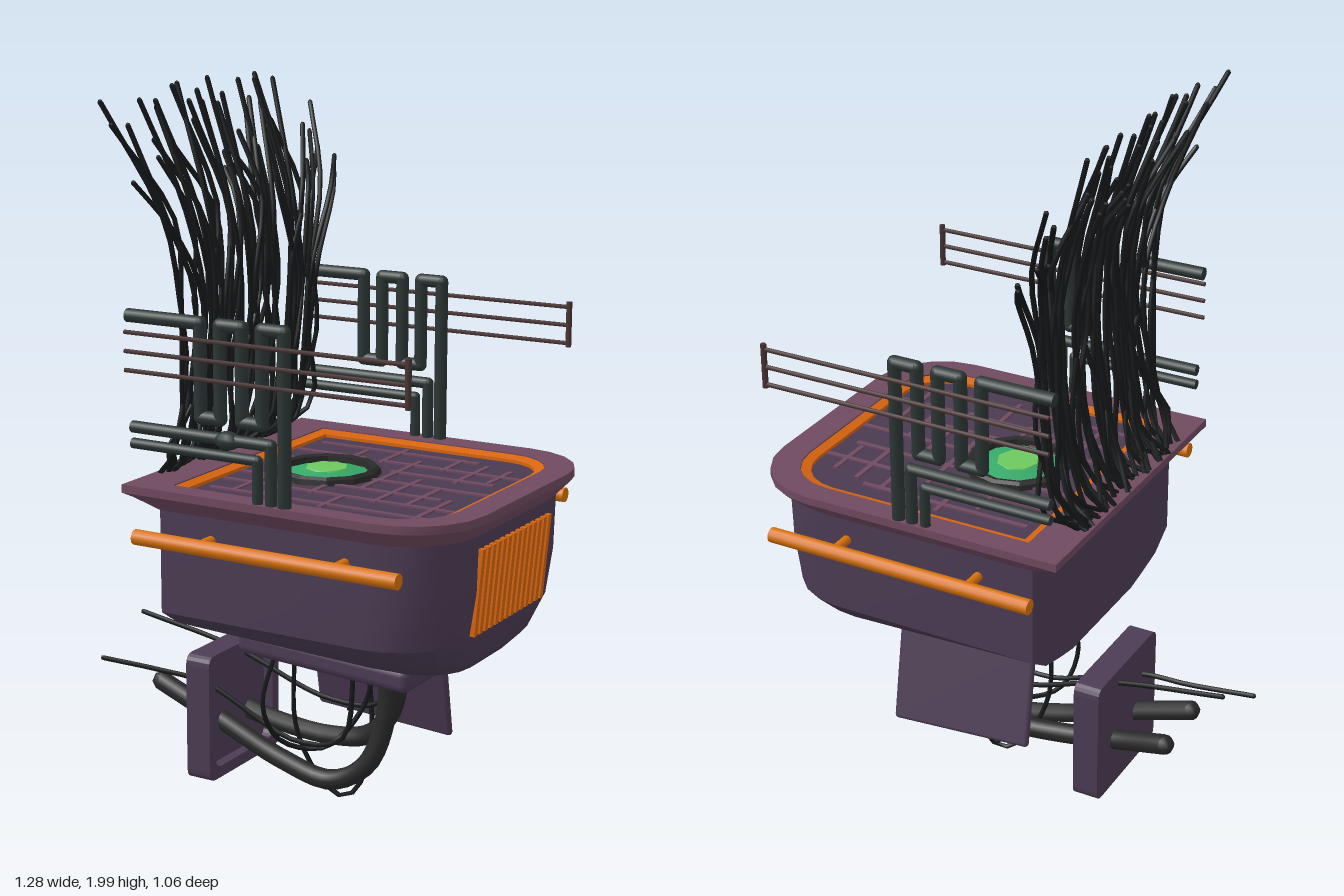
import * as THREE from 'three';
import { mergeGeometries, toCreasedNormals } from 'three/addons/utils/BufferGeometryUtils.js';
import { RoundedBoxGeometry } from 'three/addons/geometries/RoundedBoxGeometry.js';

const ZC = -0.05; // symmetry plane of the machine
const V = (x, y, z) => new THREE.Vector3(x, y, z);
const mat = (color) => new THREE.MeshStandardMaterial({ color, side: THREE.DoubleSide });
const M = {
  body: mat(0x4c3c54), rim: mat(0x704a60), floor: mat(0x4a3a50), orange: mat(0xd8650f),
  rail: mat(0xd8720c), pipe: mat(0x2b3634), rod: mat(0x4a3434), cable: mat(0x292929),
  wire: mat(0x161819), green: mat(0x36a868), light: mat(0x6cc85e),
};

// D-shaped outline in x/z: square at the back, rounded at +x
function outline(x0, x1, w, r) {
  const pts = [[x0, ZC + w]];
  for (const [s, from] of [[1, Math.PI / 2], [-1, 0]])
    for (let i = 0; i <= 5; i++) {
      const a = from - (i / 5) * Math.PI / 2;
      pts.push([x1 - r + r * Math.cos(a), ZC + s * (w - r) + r * Math.sin(a)]);
    }
  pts.push([x0, ZC - w]);
  return pts;
}

// Skin over stacked outlines [y, x0, x1, halfWidth, radius, rise at the back]
function loft(layers, capBottom, capTop) {
  const pos = [], idx = [];
  for (const [y, x0, x1, w, r, rise = 0] of layers)
    for (const [x, z] of outline(x0, x1, w, r)) pos.push(x, y + rise * (x1 - x) / (x1 - x0), z);
  const n = pos.length / 3 / layers.length;
  for (let k = 0; k < layers.length - 1; k++)
    for (let j = 0; j < n; j++) {
      const a = k * n + j, b = k * n + (j + 1) % n;
      idx.push(a, b, b + n, a, b + n, a + n);
    }
  const top = (layers.length - 1) * n;
  for (let j = 1; j < n - 1; j++) {
    if (capBottom) idx.push(0, j + 1, j);
    if (capTop) idx.push(top, top + j, top + j + 1);
  }
  const g = new THREE.BufferGeometry();
  g.setAttribute('position', new THREE.Float32BufferAttribute(pos, 3));
  g.setIndex(idx);
  return toCreasedNormals(g, 0.5);
}

function rod(a, b, r, sides = 10) {
  const d = b.clone().sub(a);
  const g = new THREE.CylinderGeometry(r, r, d.length(), sides);
  g.applyQuaternion(new THREE.Quaternion().setFromUnitVectors(V(0, 1, 0), d.normalize()));
  return g.translate((a.x + b.x) / 2, (a.y + b.y) / 2, (a.z + b.z) / 2);
}

// Straight pipe runs with ball elbows, in a plane of constant z
function pipe(points, z, r) {
  const p = points.map(([x, y]) => V(x, y, z)), parts = [];
  p.forEach((q, i) => {
    if (i) parts.push(rod(p[i - 1], q, r));
    if (i && i < p.length - 1) parts.push(new THREE.SphereGeometry(r, 10, 8).translate(q.x, q.y, q.z));
  });
  return mergeGeometries(parts);
}

function tube(points, r, segs, sides) {
  const curve = new THREE.CatmullRomCurve3(points.map((p) => V(...p)));
  const end = points[points.length - 1];
  return mergeGeometries([new THREE.TubeGeometry(curve, segs, r, sides),
    new THREE.SphereGeometry(r, sides, 4).translate(...end)]);
}

export function createModel() {
  const root = new THREE.Group();
  const add = (name, geo, material, parent = root) => {
    const m = new THREE.Mesh(geo, material);
    m.name = name;
    parent.add(m);
    return m;
  };

  // Tub and its flared rim
  add('tub', loft([
    [0.482, -0.23, 0.48, 0.18, 0.12, 0.055], [0.505, -0.23, 0.525, 0.25, 0.16, 0.045],
    [0.54, -0.23, 0.555, 0.335, 0.19, 0.03], [0.62, -0.23, 0.575, 0.41, 0.2],
    [0.75, -0.23, 0.595, 0.41, 0.2], [0.93, -0.23, 0.6, 0.41, 0.2]], true, false), M.body);
  add('rim', loft([
    [0.9, -0.23, 0.6, 0.41, 0.2], [0.935, -0.29, 0.63, 0.445, 0.21], [0.945, -0.32, 0.635, 0.455, 0.21],
    [0.967, -0.32, 0.635, 0.455, 0.21], [0.965, -0.205, 0.557, 0.385, 0.15],
    [0.943, -0.205, 0.557, 0.385, 0.15]], false, false), M.rim);
  add('floor', loft([[0.93, -0.21, 0.56, 0.387, 0.15], [0.945, -0.21, 0.56, 0.387, 0.15]], false, true), M.floor);
  add('trimRing', loft([
    [0.94, -0.204, 0.556, 0.384, 0.15], [0.962, -0.204, 0.556, 0.384, 0.15],
    [0.954, -0.18, 0.532, 0.358, 0.13], [0.94, -0.18, 0.532, 0.358, 0.13]], false, false), M.orange);

  // Broken grid of strips on the floor
  const strips = [];
  const strip = (xa, xb, za, zb) =>
    strips.push(new THREE.BoxGeometry(xb - xa, 0.006, zb - za).translate((xa + xb) / 2, 0.947, (za + zb) / 2));
  for (const [z, a, b] of [[-0.34, -0.15, 0.35], [-0.24, -0.17, 0.05], [-0.235, 0.1, 0.53], [-0.145, -0.17, -0.03],
    [-0.145, 0.18, 0.49], [-0.045, 0.18, 0.53], [0.055, -0.17, 0.06], [0.055, 0.1, 0.44], [0.145, -0.17, 0.53], [0.24, -0.15, 0.5]])
    strip(a, b, z - 0.007, z + 0.007);
  for (const [x, a, b] of [[-0.08, 0.03, 0.24], [0.01, -0.32, -0.2], [0.01, 0.1, 0.27], [0.105, -0.38, -0.22], [0.105, 0.06, 0.16],
    [0.2, -0.28, 0.06], [0.2, 0.14, 0.27], [0.295, -0.35, -0.22], [0.295, -0.1, 0.16], [0.385, -0.32, -0.12],
    [0.385, -0.05, 0.14], [0.465, -0.3, -0.16], [0.465, 0.05, 0.26]])
    strip(x - 0.007, x + 0.007, a, b);
  add('floorGrid', mergeGeometries(strips), M.rim);

  // Glowing round lens
  const lens = new THREE.Group();
  lens.name = 'lens';
  lens.position.set(0.035, 0.945, ZC);
  root.add(lens);
  const ring = [[0.148, 0], [0.145, 0.015], [0.135, 0.022], [0.12, 0.018], [0.118, 0]].map((p) => new THREE.Vector2(...p));
  add('lensRing', toCreasedNormals(new THREE.LatheGeometry(ring, 12), 0.3), M.cable, lens);
  add('lensGlass', new THREE.CylinderGeometry(0.06, 0.122, 0.016, 12).translate(0, 0.008, 0), M.green, lens);
  add('lensCore', new THREE.CylinderGeometry(0.058, 0.06, 0.004, 8).translate(0, 0.017, 0), M.light, lens);

  // Vent slats at the +x end
  const slats = [];
  for (let i = 0; i < 14; i++)
    slats.push(new THREE.BoxGeometry(0.022, 0.235, 0.017).rotateZ(-0.09).translate(0.59, 0.748, 0.145 - i * 0.0298));
  add('ventSlats', mergeGeometries(slats), M.orange);

  // Both sides: bumper rail, serpentine pipes and thin rods
  for (const s of [1, -1]) {
    const side = new THREE.Group();
    side.name = s > 0 ? 'frontSide' : 'backSide';
    root.add(side);
    const zr = ZC + s * 0.482, zp = ZC + s * 0.435, zt = ZC + s * 0.457;
    add('rail', rod(V(-0.26, 0.84, zr), V(0.522, 0.84, zr), 0.021, 12), M.rail, side);
    for (const x of [-0.07, 0.33])
      add('railMount', rod(V(x, 0.84, ZC + s * 0.39), V(x, 0.84, zr), 0.013), M.rail, side);
    const dx = s > 0 ? 0.003 : -0.015, top = 1.415, low = 1.172;
    const run = [[-0.305, top]];
    [-0.085, -0.025, 0.04, 0.1].forEach((x, i) =>
      run.push([x + dx, i % 2 ? low : top], [x + dx, i % 2 ? top : low]));
    run.push([0.165 + dx, top], [0.165 + dx, 0.95]);
    add('serpentinePipe', pipe(run, zp, 0.018), M.pipe, side);
    add('upperFeedPipe', pipe([[-0.295, 1.122], [0.125 + dx, 1.122], [0.125 + dx, 0.95]], zp, 0.016), M.pipe, side);
    add('lowerFeedPipe', pipe([[-0.295, 1.078], [0.085 + dx, 1.078], [0.085 + dx, 0.95]], zp, 0.014), M.pipe, side);
    if (s > 0) add('pipeValve', new THREE.SphereGeometry(0.027, 10, 8).scale(1.4, 0.9, 1).translate(0, 1.12, zp), M.pipe, side);
    for (const y of [1.275, 1.325, 1.375])
      add('thinRod', rod(V(-0.3, y, zt), V(0.53, y, zt), 0.006, 6), M.rod, side);
    add('rodPost', rod(V(0.53, 1.265, zt), V(0.53, 1.39, zt), 0.008, 6), M.rod, side);
  }

  // Underside block, tilted fin and rear panel
  const block = add('underBlock', new RoundedBoxGeometry(0.535, 0.072, 0.365, 2, 0.025), M.body);
  block.position.set(0.12, 0.475, ZC);
  block.rotation.z = -0.055;
  const fin = add('fin', new RoundedBoxGeometry(0.425, 0.29, 0.022, 2, 0.011), M.body);
  fin.position.set(0.108, 0.322, -0.232);
  fin.rotation.set(0.3, 0, -0.07);

  const plate = (w, h, r, p = new THREE.Shape()) => p.moveTo(-w + r, -h).lineTo(w - r, -h)
    .quadraticCurveTo(w, -h, w, -h + r).lineTo(w, h - r).quadraticCurveTo(w, h, w - r, h).lineTo(-w + r, h)
    .quadraticCurveTo(-w, h, -w, h - r).lineTo(-w, -h + r).quadraticCurveTo(-w, -h, -w + r, -h);
  const frame = plate(0.182, 0.183, 0.03);
  frame.holes.push(plate(0.15, 0.15, 0.03, new THREE.Path()));
  const ext = (shape, depth) => new THREE.ExtrudeGeometry(shape, { depth, bevelEnabled: false, curveSegments: 4 })
    .rotateY(Math.PI / 2).translate(-0.31, 0.238, ZC);
  add('rearPanelFrame', ext(frame, 0.075), M.body);
  add('rearPanelBack', ext(plate(0.181, 0.182, 0.03), 0.045), M.body);

  // Heavy cables and thin wires underneath
  const cables = [
    [[0.26, 0.46, 0], [0.25, 0.3, 0.0], [0.2, 0.16, 0.015], [0.09, 0.095, 0.02], [-0.07, 0.125, 0.02], [-0.27, 0.2, 0.015], [-0.48, 0.275, 0.005]],
    [[0.26, 0.46, -0.07], [0.22, 0.29, -0.09], [0.13, 0.19, -0.12], [0, 0.16, -0.13], [-0.15, 0.17, -0.125], [-0.3, 0.2, -0.125], [-0.48, 0.265, -0.165]],
  ];
  for (const c of cables) add('cable', tube(c, 0.028, 32, 10), M.cable);
  const wires = [
    [[0.24, 0.45, -0.09], [0.18, 0.3, -0.1], [0, 0.28, -0.105], [-0.3, 0.375, -0.105], [-0.62, 0.43, -0.105]],
    [[0.18, 0.45, 0.05], [0.15, 0.24, 0.06], [0, 0.205, 0.06], [-0.3, 0.315, 0.05], [-0.45, 0.325, 0.05], [-0.64, 0.335, 0.07]],
    [[-0.05, 0.46, -0.02], [-0.05, 0.2, -0.03], [0.02, 0.05, -0.055], [0.08, 0.012, -0.07], [0.12, 0.05, -0.085], [0.15, 0.2, -0.1], [0.12, 0.46, -0.12]],
    [[-0.06, 0.46, 0.06], [-0.08, 0.3, 0.1], [-0.05, 0.19, 0.05], [0.05, 0.17, -0.02], [0.15, 0.3, -0.06], [0.19, 0.46, -0.05]],
    [[0.04, 0.46, -0.15], [0.03, 0.35, -0.21], [0, 0.25, -0.25], [-0.02, 0.19, -0.27]],
  ];
  for (const w of wires) add('thinWire', tube(w, 0.007, 24, 6), M.wire);

  // Wild strands standing along the back edge
  let seed = 7;
  const rnd = (k) => { seed = (seed * 16807) % 2147483647; return (seed / 2147483647 * 2 - 1) * k; };
  const strands = [], N = 44;
  for (let i = 0; i < N; i++) {
    const t = (i / (N - 1)) * 2 - 1; // -1 .. 1 across the back
    const z = ZC + t * 0.34, lean = Math.sign(t) * Math.pow(Math.abs(t), 3);
    const top = 1.87 + rnd(0.13) - Math.abs(lean) * 0.02;
    strands.push(tube([
      [-0.3 + rnd(0.015), 0.965, z - lean * 0.1 + rnd(0.06)],
      [-0.245 + rnd(0.02), 1.03 + rnd(0.03), z + rnd(0.05)],
      [-0.21 + rnd(0.015), 1.22 + rnd(0.05), z + rnd(0.04)],
      [-0.19 + rnd(0.012), 1.45 + rnd(0.05), z + rnd(0.04)],
      [-0.205 + rnd(0.015), 1.66 + rnd(0.03), z + lean * 0.07 + rnd(0.05)],
      [-0.31 + (2 - top) * 0.2 + rnd(0.015), top, z + lean * 0.2 + rnd(0.06)],
    ], 0.007, 14, 6));
  }
  add('strands', mergeGeometries(strands), M.wire);
  return root;
}
